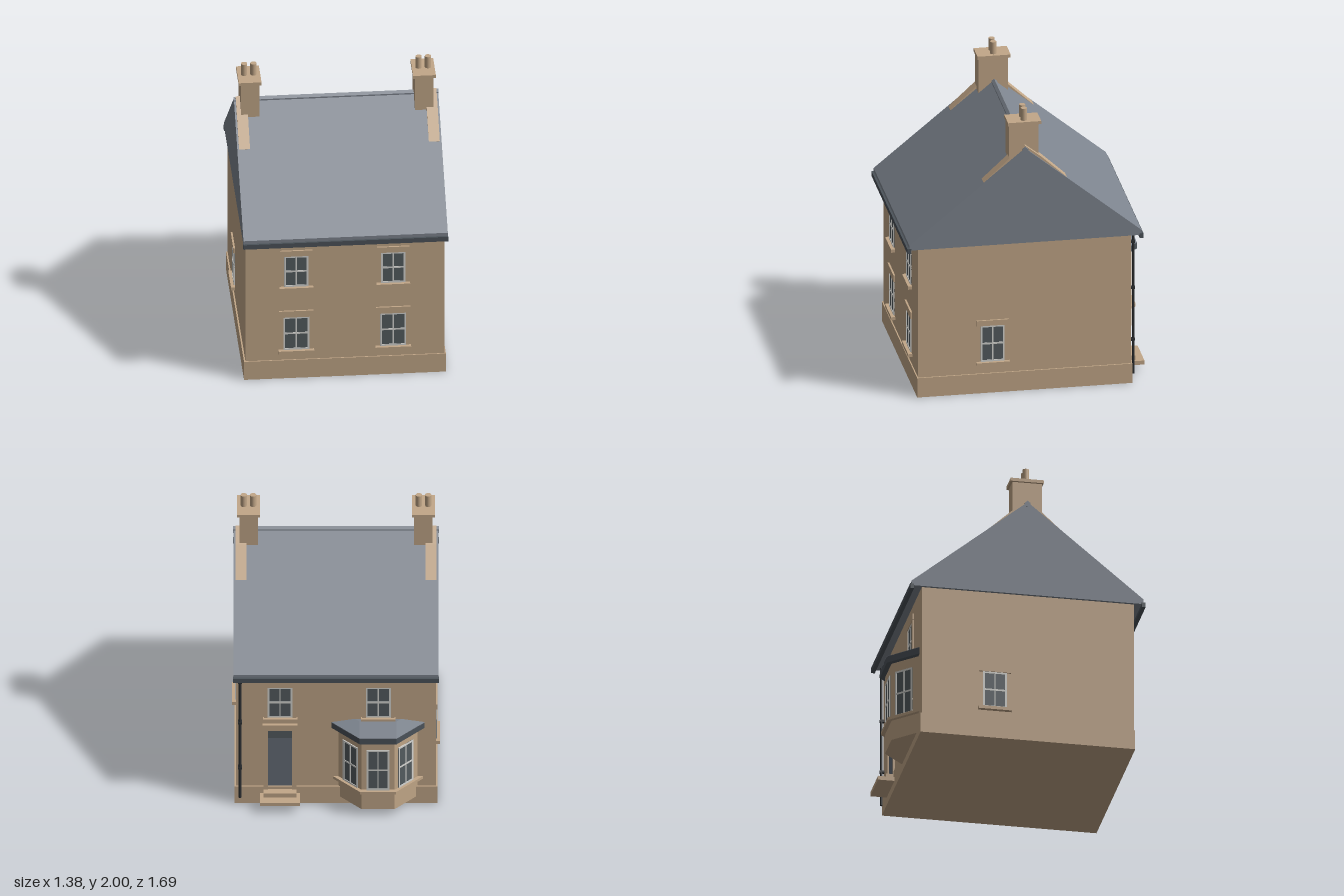
import * as THREE from 'three';
import { ConvexGeometry } from 'three/addons/geometries/ConvexGeometry.js';

const mat = (name, color, extra = {}) => {
  const m = new THREE.MeshStandardMaterial({ color, ...extra });
  m.name = name;
  return m;
};

export function createModel() {
  const stone = mat('sandstone', 0xc2a788);
  const slate = mat('slate', 0x7d848e);
  const gutterGrey = mat('gutter grey', 0x4c535a);
  const glass = mat('window glass', 0x545c60);
  const white = mat('window frame white', 0xd6d6d2);
  const doorPaint = mat('door grey', 0x666e78);
  const iron = mat('iron black', 0x2c2f32);

  const house = new THREE.Group();
  house.name = 'house';

  const add = (parent, name, geometry, material) => {
    const mesh = new THREE.Mesh(geometry, material);
    mesh.name = name;
    parent.add(mesh);
    return mesh;
  };
  // Box given by its limits on each axis
  const box = (parent, name, material, [x0, x1], [y0, y1], [z0, z1]) => {
    const mesh = add(parent, name, new THREE.BoxGeometry(x1 - x0, y1 - y0, z1 - z0), material);
    mesh.position.set((x0 + x1) / 2, (y0 + y1) / 2, (z0 + z1) / 2);
    return mesh;
  };
  // Prism along x from a [z, y] outline
  const prismX = (parent, name, material, outline, x0, x1) => {
    const shape = new THREE.Shape(outline.map(([z, y]) => new THREE.Vector2(z, y)));
    const geo = new THREE.ExtrudeGeometry(shape, { depth: x1 - x0, bevelEnabled: false });
    geo.rotateY(-Math.PI / 2).translate(x1, 0, 0);
    return add(parent, name, geo, material);
  };
  // Group whose local +z points out of a wall at (x, z) along (nx, nz)
  const onWall = (name, x, z, nx, nz) => {
    const g = new THREE.Group();
    g.name = name;
    g.position.set(x, 0, z);
    g.rotation.y = Math.atan2(nx, nz);
    house.add(g);
    return g;
  };

  // Sash window: glass, frame, glazing bars
  const sash = (g, w, y0, y1) => {
    const h = w / 2, t = 0.012, mid = (y0 + y1) / 2;
    box(g, 'glass', glass, [-h, h], [y0, y1], [-0.004, 0.003]);
    for (const s of [-1, 1]) {
      const c = s * (h - t / 2);
      box(g, 'frameSide', white, [c - t / 2, c + t / 2], [y0, y1], [-0.002, 0.007]);
    }
    box(g, 'frameTop', white, [-h, h], [y1 - t, y1], [-0.002, 0.007]);
    box(g, 'frameBottom', white, [-h, h], [y0, y0 + t], [-0.002, 0.007]);
    box(g, 'meetingRail', white, [-h, h], [mid - 0.006, mid + 0.006], [-0.002, 0.006]);
    box(g, 'glazingBar', white, [-0.004, 0.004], [y0, y1], [-0.002, 0.006]);
  };
  const stoneWindow = (name, x, z, nx, nz, w, y0, y1, lintel) => {
    const g = onWall(name, x, z, nx, nz);
    const h = w / 2 + 0.028;
    sash(g, w, y0, y1);
    box(g, 'lintel', stone, [-h, h], [y1, y1 + lintel], [-0.01, 0.012]);
    box(g, 'sill', stone, [-h - 0.004, h + 0.004], [y0 - 0.022, y0], [-0.01, 0.028]);
    return g;
  };

  // Walls and plinth
  box(house, 'walls', stone, [-0.66, 0.66], [0, 1.07], [-0.66, 0.768]);
  box(house, 'plinth', stone, [-0.67, 0.67], [0, 0.138], [-0.67, 0.776]);

  // Gable roof, ridge tiles and gutters
  prismX(house, 'roof', slate,
    [[0.83, 1.06], [0.83, 1.095], [0.05, 1.735], [-0.73, 1.095], [-0.73, 1.06]], -0.678, 0.678);
  prismX(house, 'ridgeTiles', slate,
    [[0.068, 1.7], [0.068, 1.73], [0.05, 1.745], [0.032, 1.73], [0.032, 1.7]], -0.68, 0.68);
  box(house, 'frontGutter', gutterGrey, [-0.68, 0.68], [1.038, 1.072], [0.818, 0.844]);
  box(house, 'backGutter', gutterGrey, [-0.68, 0.68], [1.038, 1.072], [-0.742, -0.716]);

  // Chimneys, each with shoulder stones, cap and two pots
  for (const s of [-1, 1]) {
    const g = new THREE.Group();
    g.name = s < 0 ? 'rightChimney' : 'leftChimney';
    house.add(g);
    const span = (a, b) => (s > 0 ? [a, b] : [-b, -a]);
    box(g, 'stack', stone, span(0.515, 0.638), [1.62, 1.9], [-0.045, 0.155]);
    box(g, 'cap', stone, span(0.503, 0.654), [1.893, 1.915], [-0.06, 0.163]);
    const [x0, x1] = span(0.593, 0.666);
    prismX(g, 'shoulderStones', stone,
      [[0.333, 1.48], [0.33, 1.506], [0.155, 1.668], [0.05, 1.75],
        [-0.055, 1.668], [-0.23, 1.506], [-0.233, 1.48]], x0, x1);
    for (const x of [0.548, 0.61]) {
      const pot = add(g, 'chimneyPot', new THREE.CylinderGeometry(0.021, 0.021, 0.1, 16), stone);
      pot.position.set(s * x, 1.95, 0.05);
    }
  }

  // Windows on the four walls
  for (const x of [-0.323, 0.32]) {
    stoneWindow('frontUpperWindow', x, 0.768, 0, 1, 0.16, 0.698, 0.932, 0.042);
    stoneWindow('frontLowerWindow', x, 0.768, 0, 1, 0.172, 0.216, 0.466, 0.047);
  }
  stoneWindow('leftWindow', 0.66, 0.268, 1, 0, 0.16, 0.222, 0.48, 0.038);
  stoneWindow('rightWindow', -0.66, -0.168, -1, 0, 0.16, 0.222, 0.48, 0.038);
  for (const x of [-0.28, 0.37]) {
    const g = stoneWindow('backUpperWindow', x, -0.66, 0, -1, 0.165, 0.698, 0.945, 0.045);
    for (const s of [-1, 1]) {
      const c = s * 0.095;
      box(g, 'jamb', stone, [c - 0.0125, c + 0.0125], [0.698, 0.945], [-0.01, 0.01]);
    }
  }

  // Back door with surround, fanlight and steps
  const door = onWall('backDoor', 0.37, -0.66, 0, -1);
  box(door, 'doorLeaf', doorPaint, [-0.08, 0.08], [0.115, 0.53], [-0.005, 0.004]);
  box(door, 'fanlight', glass, [-0.08, 0.08], [0.53, 0.6], [-0.005, 0.004]);
  for (const s of [-1, 1]) {
    const c = s * 0.094;
    box(door, 'doorJamb', stone, [c - 0.014, c + 0.014], [0.1, 0.6], [-0.01, 0.014]);
  }
  box(door, 'doorLintel', stone, [-0.115, 0.115], [0.6, 0.645], [-0.01, 0.02]);
  box(door, 'upperStep', stone, [-0.11, 0.11], [0.055, 0.115], [-0.01, 0.062]);
  box(door, 'lowerStep', stone, [-0.133, 0.133], [0.055, 0.083], [-0.01, 0.12]);

  // Canted bay window: half-width grows at 45 degrees back to the wall
  const bayX = -0.278;
  const bayPoints = (front, zFront, y, zBack = -0.655) => {
    const back = front + (zBack - zFront);
    return [[-back, zBack], [-front, zFront], [front, zFront], [back, zBack]]
      .map(([x, z]) => new THREE.Vector3(bayX + x, y, z));
  };
  const bayPrism = (name, material, front, zFront, y0, y1) =>
    add(house, name, new ConvexGeometry([
      ...bayPoints(front, zFront, y0), ...bayPoints(front, zFront, y1)]), material);
  bayPrism('bayWalls', stone, 0.11, -0.812, 0.055, 0.62);
  bayPrism('baySill', stone, 0.12, -0.838, 0.194, 0.214);
  bayPrism('bayFascia', gutterGrey, 0.123, -0.845, 0.61, 0.655);
  add(house, 'bayRoof', new ConvexGeometry([
    ...bayPoints(0.123, -0.845, 0.652), ...bayPoints(0.123, -0.845, 0.657),
    ...bayPoints(0.123, -0.69, 0.684)]), slate);
  sash(onWall('bayFrontWindow', bayX, -0.812, 0, -1), 0.15, 0.214, 0.54);
  for (const s of [-1, 1]) {
    sash(onWall('baySideWindow', bayX + s * 0.181, -0.741, s, -1), 0.135, 0.214, 0.54);
  }

  // Downpipe at the back corner
  const pipe = add(house, 'downpipe', new THREE.CylinderGeometry(0.009, 0.009, 1.0, 12), iron);
  pipe.position.set(0.635, 0.555, -0.681);
  for (const y of [0.3, 0.67, 1.0]) {
    box(house, 'pipeBracket', iron, [0.623, 0.647], [y - 0.008, y + 0.008], [-0.692, -0.655]);
  }

  return house;
}
